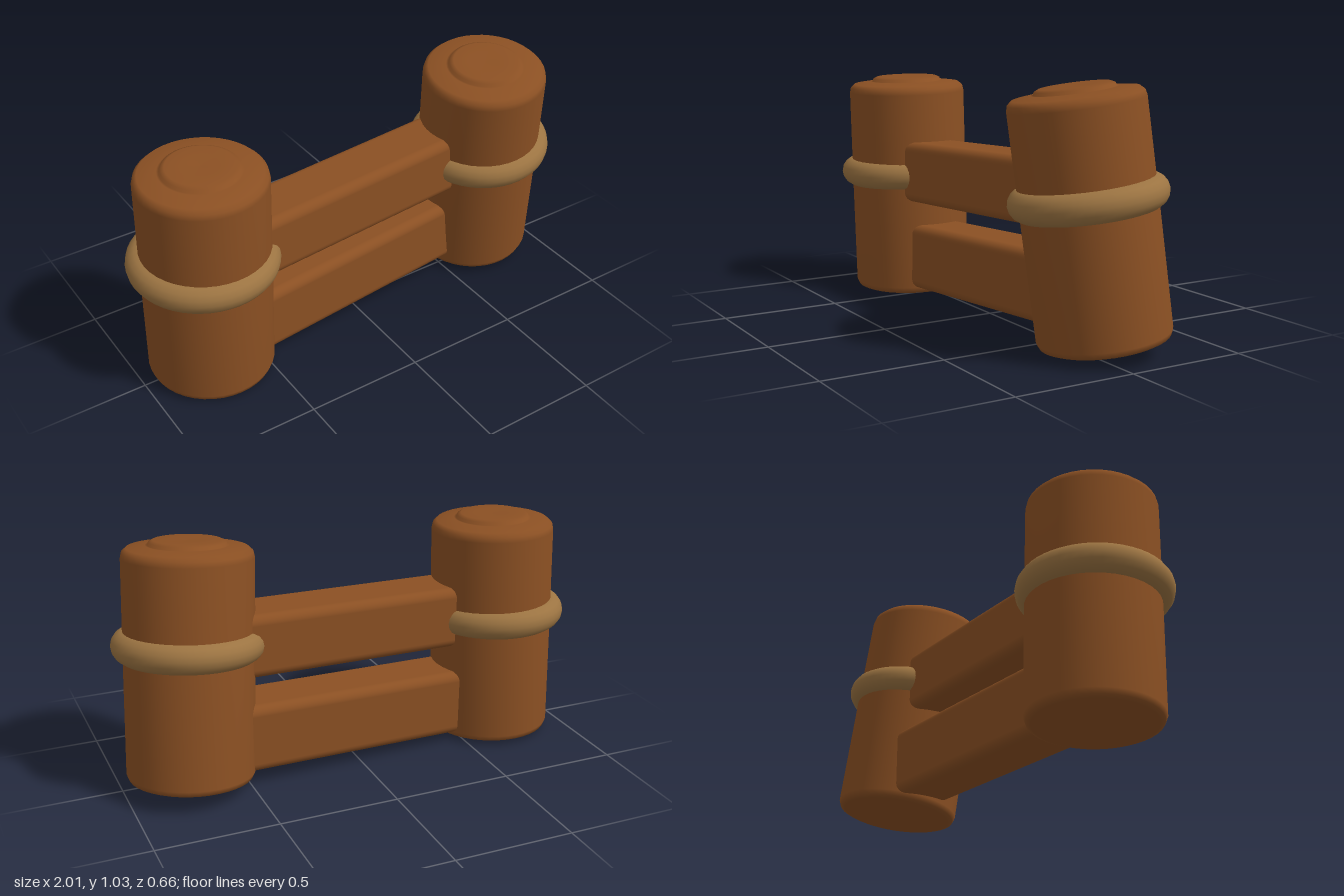
import * as THREE from 'three';
import { RoundedBoxGeometry } from 'three/addons/geometries/RoundedBoxGeometry.js';

const wood = new THREE.MeshStandardMaterial({ color: 0x8b5023 });
wood.name = 'brown wood';
const rope = new THREE.MeshStandardMaterial({ color: 0x9c7442 });
rope.name = 'tan rope';

const v = (x, y, z) => new THREE.Vector3(x, y, z);

// Log post: rounded rims and a raised ring core on the top, leaning from base to top
function post(name, base, top) {
  const h = base.distanceTo(top);
  const profile = [
    [0, 0], [0.235, 0], [0.253, 0.008], [0.262, 0.03], [0.263, h * 0.5], [0.262, h - 0.04],
    [0.257, h - 0.018], [0.24, h - 0.002], [0.165, h + 0.008], [0.156, h + 0.008],
    [0.152, h + 0.02], [0.135, h + 0.028], [0.07, h + 0.028], [0, h + 0.026],
  ].map(([r, y]) => new THREE.Vector2(r, y));
  const mesh = new THREE.Mesh(new THREE.LatheGeometry(profile, 40), wood);
  mesh.name = name;
  mesh.position.copy(base);
  mesh.quaternion.setFromUnitVectors(v(0, 1, 0), top.clone().sub(base).normalize());
  return mesh;
}

// Rope band around a post, lying square to the post's axis
function band(name, center, postMesh) {
  const geo = new THREE.TorusGeometry(0.244, 0.062, 16, 48);
  geo.rotateX(Math.PI / 2);
  const mesh = new THREE.Mesh(geo, rope);
  mesh.name = name;
  mesh.position.copy(center);
  mesh.quaternion.copy(postMesh.quaternion);
  return mesh;
}

// Rail: a softly rounded beam running between two points
function rail(name, a, b, height, depth) {
  const mesh = new THREE.Mesh(new RoundedBoxGeometry(a.distanceTo(b), height, depth, 4, 0.04), wood);
  mesh.name = name;
  mesh.position.copy(a).add(b).multiplyScalar(0.5);
  mesh.quaternion.setFromUnitVectors(v(1, 0, 0), b.clone().sub(a).normalize());
  return mesh;
}

export function createModel() {
  const model = new THREE.Group();
  model.name = 'fence';

  const rightPost = post('rightPost', v(-0.695, 0.012, 0.01), v(-0.69, 0.957, 0.036));
  const leftPost = post('leftPost', v(0.729, 0.052, -0.072), v(0.668, 0.995, 0.036));
  model.add(rightPost, leftPost);

  model.add(band('rightRopeBand', v(-0.703, 0.553, 0.025), rightPost));
  model.add(band('leftRopeBand', v(0.697, 0.608, -0.008), leftPost));

  model.add(rail('upperRail', v(-0.6, 0.566, 0.042), v(0.6, 0.603, -0.032), 0.267, 0.255));
  model.add(rail('lowerRail', v(-0.6, 0.177, 0.016), v(0.64, 0.222, -0.075), 0.29, 0.255));
  return model;
}
